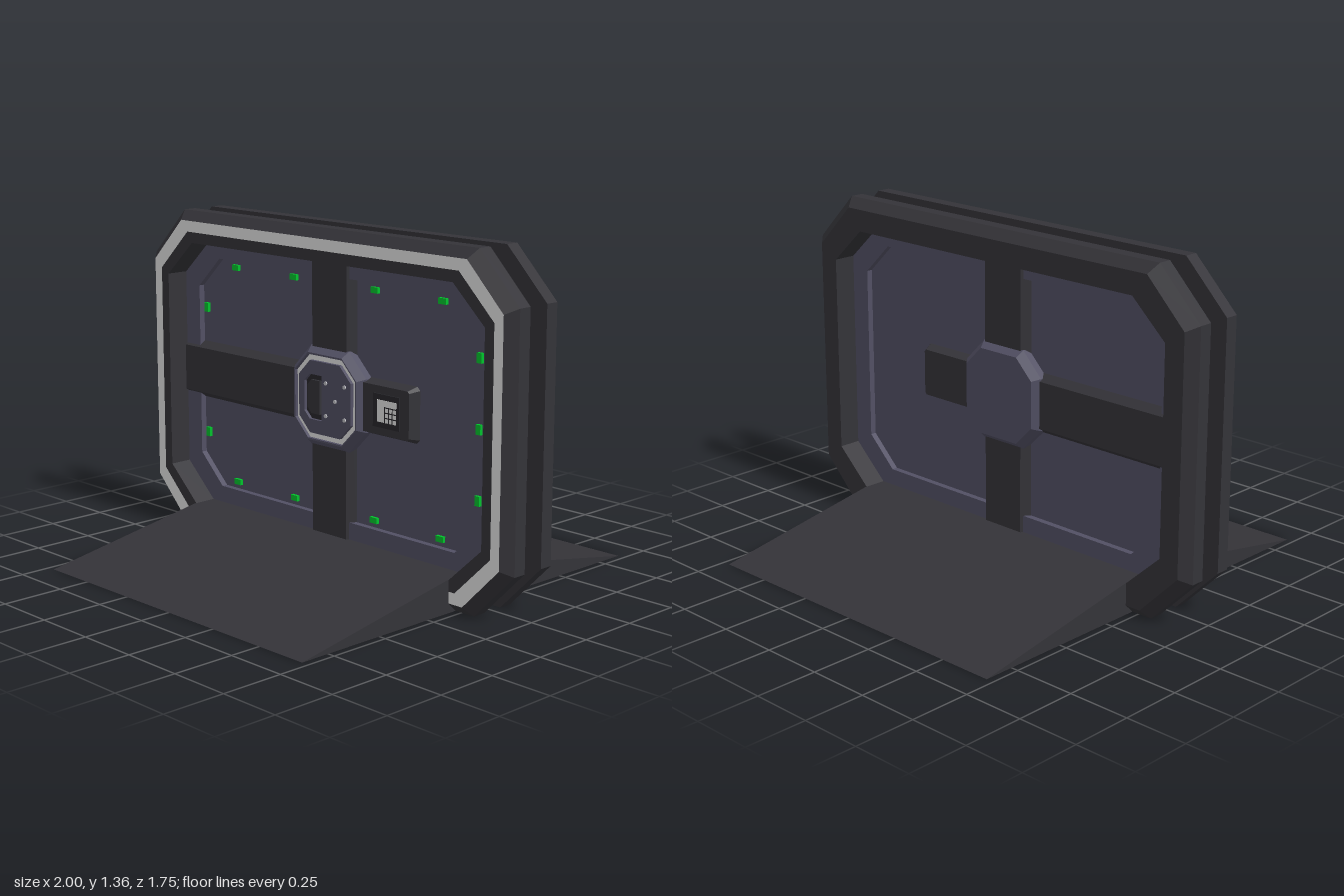
import * as THREE from 'three';

const mat = (name, color) => {
  const m = new THREE.MeshStandardMaterial({ color, flatShading: true });
  m.name = name;
  return m;
};

// Counter-clockwise octagon: half width hx, y range, corner cuts cx and cy
function oct(hx, y0, y1, cx, cy, z) {
  return [
    [hx, y0 + cy], [hx, y1 - cy], [hx - cx, y1], [-hx + cx, y1],
    [-hx, y1 - cy], [-hx, y0 + cy], [-hx + cx, y0], [hx - cx, y0],
  ].map(([x, y]) => [x, y, z]);
}

// Rectangle with its two outer (+x) corners cut by c
const tab = (x0, x1, y0, y1, c, z) => [
  [x0, y0, z], [x1 - c, y0, z], [x1, y0 + c, z], [x1, y1 - c, z], [x1 - c, y1, z], [x0, y1, z],
];

// Flat-sided skin through a row of loops, with optional end caps
function loft(loops, startCap = false, endCap = false) {
  const p = [];
  const n = loops[0].length;
  for (let k = 0; k + 1 < loops.length; k++) {
    const a = loops[k], b = loops[k + 1];
    for (let i = 0; i < n; i++) {
      const j = (i + 1) % n;
      p.push(...a[i], ...a[j], ...b[j], ...a[i], ...b[j], ...b[i]);
    }
  }
  const s = loops[0], e = loops[loops.length - 1];
  for (let i = 1; i + 1 < n; i++) {
    if (startCap) p.push(...s[0], ...s[i + 1], ...s[i]);
    if (endCap) p.push(...e[0], ...e[i], ...e[i + 1]);
  }
  const g = new THREE.BufferGeometry();
  g.setAttribute('position', new THREE.Float32BufferAttribute(p, 3));
  g.computeVertexNormals();
  return g;
}

// Front loops preceded by their mirror image behind
const bothSides = (loops) =>
  [...loops.map((l) => l.map(([x, y, z]) => [x, y, -z])).reverse(), ...loops];

const vectors = (points) => points.map(([x, y]) => new THREE.Vector2(x, y));
function extrude(points, depth, hole) {
  const s = new THREE.Shape(vectors(points));
  if (hole) s.holes.push(new THREE.Path(vectors(hole)));
  return new THREE.ExtrudeGeometry(s, { depth, bevelEnabled: false });
}

export function createModel() {
  const model = new THREE.Group();
  model.name = 'blastDoor';
  const dark = mat('dark metal', 0x343338);
  const black = mat('black metal', 0x27262b);
  const panel = mat('blue grey panel', 0x525064);
  const white = mat('white trim', 0xe4e4e4);
  const grey = mat('grey bolt', 0xc0c0c4);
  const green = mat('green light', 0x00c42c);

  const add = (name, geo, m, x = 0, y = 0, z = 0, parent = model) => {
    const mesh = new THREE.Mesh(geo, m);
    mesh.name = name;
    mesh.position.set(x, y, z);
    parent.add(mesh);
    return mesh;
  };
  const box = (name, m, w, h, d, x, y, z, parent) =>
    add(name, new THREE.BoxGeometry(w, h, d), m, x, y, z, parent);

  // Frame rings with straight inner walls: front with white trim, back plain
  const inner = (z) => oct(0.875, 0.128, 1.228, 0.155, 0.143, z);
  const outer = (z) => oct(1, 0, 1.355, 0.19, 0.192, z);
  const trimOut = oct(0.96, 0.038, 1.317, 0.174, 0.176, 0.14);
  const trimIn = oct(0.918, 0.083, 1.272, 0.17, 0.165, 0.14);
  const outside = [inner(0.045), outer(0.045), outer(0.1), trimOut];
  const inside = [trimIn, inner(0.14), inner(0.045)];
  add('frontFrameOuter', loft(outside), dark);
  add('frontFrameTrim', loft([trimOut, trimIn]), white);
  add('frontFrameInner', loft(inside), dark);
  add('backFrame', loft([...outside, ...inside]), dark).rotation.y = Math.PI;

  // Door panel with a recessed field on both sides
  const field = (z) => oct(0.79, 0.197, 1.16, 0.13, 0.125, z);
  add('doorPanel', loft(bothSides([inner(0.045), field(0.045), field(0.02)]), true, true), panel);

  // Cross bars through the panel
  const profile = [
    [-0.125, 0], [-0.12, -0.02], [-0.095, -0.055], [0.095, -0.055],
    [0.12, -0.02], [0.125, 0], [0.12, 0.02], [0.095, 0.055], [-0.095, 0.055], [-0.12, 0.02],
  ];
  const bar = (length) => extrude(profile, length).rotateX(-Math.PI / 2);
  add('verticalBar', bar(1.104), dark, 0, 0.127, 0);
  add('horizontalBar', bar(0.878).rotateZ(Math.PI / 2), dark, 0, 0.68, 0);

  // Lock box on the model's left
  add('lockBox', loft(bothSides([
    tab(0.18, 0.455, 0.57, 0.79, 0.015, 0.02),
    tab(0.18, 0.435, 0.585, 0.775, 0.008, 0.06),
  ]), true, true), dark);

  // Central hub with a white groove around its front face
  const square = (r, c, z) => oct(r, 0.68 - r, 0.68 + r, c, c, z);
  const rim = [square(0.2, 0.095, 0.05), square(0.175, 0.08, 0.08)];
  const groove = [square(0.168, 0.073, 0.08), square(0.168, 0.073, 0.066)];
  add('hub', loft([...bothSides(rim), ...groove], true), panel);
  const plate = square(0.145, 0.062, 0.066);
  add('hubTrim', loft([groove[1], plate]), white);

  // Hub centre with a sunken handle pocket
  const pocket = [
    [-0.115, 0.62], [-0.085, 0.59], [-0.018, 0.59],
    [-0.018, 0.77], [-0.085, 0.77], [-0.115, 0.74],
  ];
  add('hubCentre', extrude(plate, 0.014, pocket), panel, 0, 0, 0.066);
  add('handlePocket', extrude(pocket, 0.004), black, 0, 0, 0.063);
  const grip = pocket.map(([x, y]) => [-0.065 + (x + 0.065) * 0.7, 0.68 + (y - 0.68) * 0.75]);
  add('handleGrip', extrude(grip, 0.012), dark, 0, 0, 0.065);
  for (const [x, y] of [[0.008, 0.745], [0.112, 0.745], [0.06, 0.68], [0.008, 0.615], [0.112, 0.615]]) {
    const g = new THREE.CylinderGeometry(0.008, 0.008, 0.006, 8).rotateX(Math.PI / 2);
    add('hubBolt', g, grey, x, y, 0.082);
  }

  // Keypad with a light screen and key gaps
  const keypad = new THREE.Group();
  keypad.name = 'keypad';
  model.add(keypad);
  box('keypadPlate', black, 0.138, 0.13, 0.008, 0.32, 0.68, 0.062, keypad);
  box('keypadScreen', white, 0.1, 0.086, 0.003, 0.325, 0.68, 0.066, keypad);
  for (let i = 0; i < 3; i++) {
    box('keyGap', black, 0.004, 0.062, 0.002, 0.316 + i * 0.02, 0.668, 0.0675, keypad);
    box('keyGap', black, 0.06, 0.004, 0.002, 0.345, 0.656 + i * 0.02, 0.0675, keypad);
  }

  // Green lights around the recessed field
  const light = (x, y, w, h) => box('light', green, w, h, 0.014, x, y, 0.026);
  for (const x of [-0.578, -0.23, 0.222, 0.571]) {
    for (const y of [1.13, 0.228]) light(x, y, 0.038, 0.023);
  }
  for (const y of [0.945, 0.412]) {
    for (const x of [-0.763, 0.755]) light(x, y, 0.023, 0.038);
  }
  light(0.755, 0.68, 0.023, 0.038);

  // Ramp running through the doorway
  const slope = [[-0.873, 0], [0.873, 0], [0.15, 0.128], [-0.15, 0.128]];
  add('ramp', extrude(slope, 1.44).rotateY(Math.PI / 2), dark, -0.72, 0, 0);

  return model;
}
